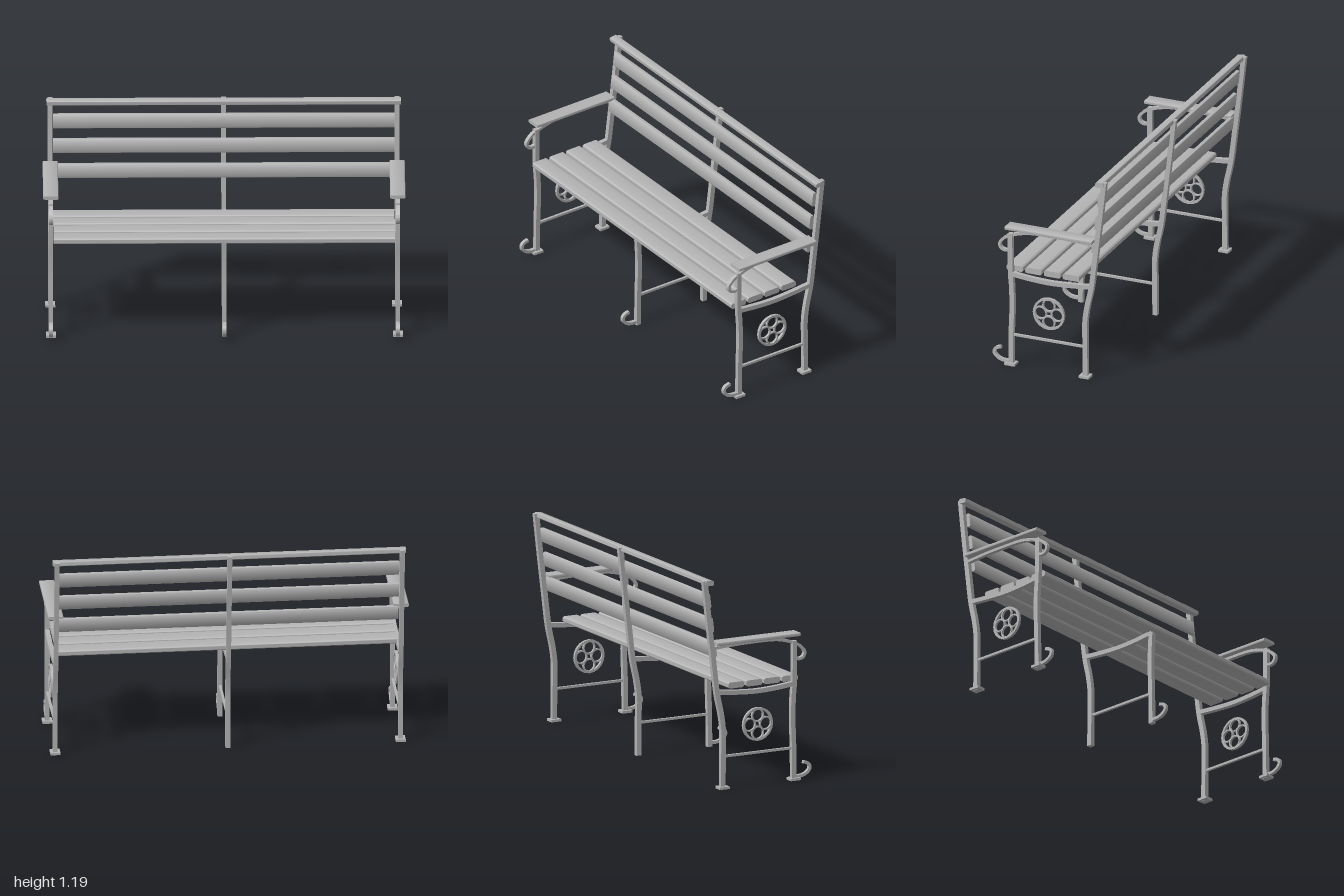
import * as THREE from 'three';
import { toCreasedNormals } from 'three/addons/utils/BufferGeometryUtils.js';

// Extrude a side profile (drawn in z, y) along x, centred on x = 0
function extrudeX(shape, width, crease, curveSegments = 5) {
  const g = new THREE.ExtrudeGeometry(shape, { depth: width, bevelEnabled: false, curveSegments });
  g.translate(0, 0, -width / 2);
  g.rotateY(-Math.PI / 2);
  return toCreasedNormals(g, crease);
}

// Flat bar of even thickness following a curve through [z, y] points
function bar(points, thickness, width, steps = 24) {
  const curve = new THREE.SplineCurve(points.map(([z, y]) => new THREE.Vector2(z, y)));
  const left = [], right = [];
  for (let i = 0; i <= steps; i++) {
    const p = curve.getPoint(i / steps), t = curve.getTangent(i / steps);
    const n = new THREE.Vector2(-t.y, t.x).multiplyScalar(thickness / 2);
    left.push(p.clone().add(n));
    right.unshift(p.clone().sub(n));
  }
  return extrudeX(new THREE.Shape([...left, ...right]), width, 0.7);
}

// Plank with rounded long edges: depth in z, height in y, length in x
function plank(length, depth, height, r) {
  const a = depth / 2, b = height / 2, s = new THREE.Shape();
  s.moveTo(-a + r, -b);
  s.lineTo(a - r, -b);
  s.absarc(a - r, -b + r, r, -Math.PI / 2, 0);
  s.absarc(a - r, b - r, r, 0, Math.PI / 2);
  s.absarc(-a + r, b - r, r, Math.PI / 2, Math.PI);
  s.absarc(-a + r, -b + r, r, Math.PI, Math.PI * 1.5);
  return extrudeX(s, length, 0.8, 4);
}

// Flat ring facing sideways
function ring(outer, inner, width, sides) {
  const s = new THREE.Shape().absarc(0, 0, outer, 0, Math.PI * 2);
  s.holes.push(new THREE.Path().absarc(0, 0, inner, 0, Math.PI * 2, true));
  return extrudeX(s, width, 0.6, sides);
}

export function createModel() {
  const bench = new THREE.Group();
  bench.name = 'bench';
  const grey = new THREE.MeshStandardMaterial({ color: 0xb4b4b4 });
  grey.name = 'grey';

  function add(parent, name, geometry, x = 0, y = 0, z = 0, tilt = 0) {
    const m = new THREE.Mesh(geometry, grey);
    m.name = name;
    m.position.set(x, y, z);
    m.rotation.x = tilt;
    parent.add(m);
    return m;
  }

  // Shared metal profiles
  const backLeg = bar([[-0.214, 0], [-0.213, 0.2], [-0.212, 0.33], [-0.225, 0.43],
    [-0.243, 0.51], [-0.255, 0.58], [-0.272, 0.72], [-0.3, 0.95], [-0.327, 1.19]], 0.029, 0.026, 32);
  const endFrontLeg = bar([[0.234, 0], [0.232, 0.2], [0.227, 0.35], [0.23, 0.47],
    [0.237, 0.57], [0.238, 0.79]], 0.028, 0.026);
  const midFrontLeg = bar([[0.234, 0], [0.232, 0.2], [0.227, 0.35], [0.23, 0.47], [0.235, 0.552]], 0.028, 0.026);
  const seatSupport = bar([[0.238, 0.549], [0.12, 0.537], [0, 0.532], [-0.12, 0.538], [-0.24, 0.549]], 0.025, 0.026);
  const footScroll = bar([[0.24, 0.021], [0.28, 0.022], [0.31, 0.032], [0.332, 0.052],
    [0.335, 0.073], [0.321, 0.09], [0.294, 0.098]], 0.017, 0.02);
  const armScroll = bar([[-0.27, 0.802], [-0.12, 0.811], [0.08, 0.812], [0.17, 0.8], [0.25, 0.773],
    [0.288, 0.745], [0.303, 0.72], [0.294, 0.694], [0.265, 0.685], [0.24, 0.696], [0.232, 0.712]], 0.016, 0.022, 44);
  const stretcher = new THREE.BoxGeometry(0.014, 0.013, 0.44);
  const footPlate = new THREE.BoxGeometry(0.055, 0.014, 0.061);
  const outerRing = ring(0.095, 0.082, 0.016, 10);
  const innerRing = ring(0.039, 0.031, 0.014, 8);

  // Three cast frames; the end ones carry arms, feet and medallions
  for (const side of [-1, 0, 1]) {
    const frame = new THREE.Group();
    frame.name = side < 0 ? 'rightFrame' : side > 0 ? 'leftFrame' : 'middleFrame';
    frame.position.x = side * 0.957;
    bench.add(frame);
    add(frame, 'backLeg', backLeg);
    add(frame, 'frontLeg', side ? endFrontLeg : midFrontLeg);
    add(frame, 'seatSupport', seatSupport);
    add(frame, 'footScroll', footScroll);
    add(frame, 'stretcher', stretcher, 0, 0.184, 0.01);
    if (!side) continue;
    add(frame, 'frontFoot', footPlate, 0, 0.009, 0.236);
    add(frame, 'backFoot', footPlate, 0, 0.009, -0.212);
    add(frame, 'armScroll', armScroll);

    // Medallion of four small rings inside a large one
    const medallion = new THREE.Group();
    medallion.name = 'medallion';
    medallion.position.set(0, 0.344, 0.008);
    frame.add(medallion);
    add(medallion, 'outerRing', outerRing);
    for (let i = 0; i < 4; i++) {
      const a = i * Math.PI / 2;
      add(medallion, 'innerRing', innerRing, 0, 0.05 * Math.sin(a), 0.05 * Math.cos(a));
    }

    // Armrest plank with rounded sides, lying front to back
    const arm = plank(0.524, 0.085, 0.02, 0.008);
    arm.rotateY(Math.PI / 2);
    add(frame, 'armrest', arm, 0, 0.83, -0.004);
  }

  // Seat slats
  const seatSlat = plank(1.884, 0.1, 0.034, 0.013);
  for (let i = 0; i < 4; i++) add(bench, 'seatSlat', seatSlat, 0, 0.575, 0.222 - i * 0.113);

  // Back slats lean with the posts
  const backSlat = plank(1.884, 0.026, 0.084, 0.01);
  [[1.068, -0.291], [0.929, -0.273], [0.787, -0.256]].forEach(([y, z]) =>
    add(bench, 'backSlat', backSlat, 0, y, z, -0.12));

  // Top rail
  add(bench, 'topRail', plank(1.956, 0.05, 0.028, 0.01), 0, 1.177, -0.302, 0.12);
  return bench;
}
